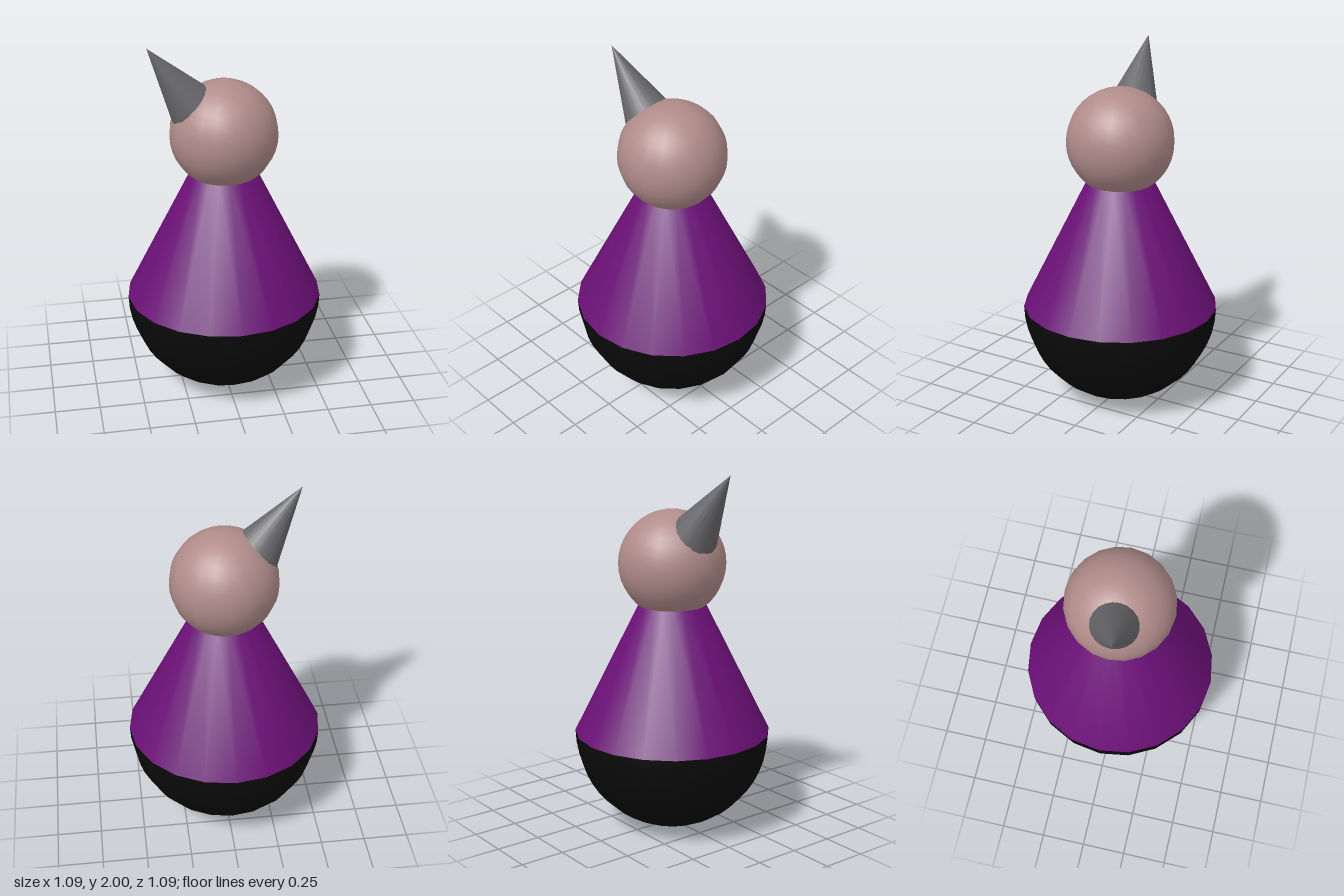
import * as THREE from 'three';

const SIDES = 20;

function addPart(group, name, geometry, color) {
  const mesh = new THREE.Mesh(geometry, new THREE.MeshStandardMaterial({ color }));
  mesh.name = name;
  group.add(mesh);
  return mesh;
}

export function createModel() {
  const group = new THREE.Group();
  group.name = 'figure';

  // Rounded black base: lower half of a sphere
  const base = addPart(group, 'base',
    new THREE.SphereGeometry(0.545, SIDES, 12, 0, Math.PI * 2, Math.PI / 2, Math.PI / 2), 0x0a0a0a);
  base.scale.y = 0.55 / 0.545;
  base.position.y = 0.55;

  // Tapered robe, its top closed beneath the head
  const robe = [[0.545, 0.55], [0.187, 1.265], [0, 1.265]].map(([r, y]) => new THREE.Vector2(r, y));
  addPart(group, 'robe', new THREE.LatheGeometry(robe, SIDES), 0x6a1076);

  // Head
  const headCentre = new THREE.Vector3(0, 1.495, 0);
  const head = addPart(group, 'head', new THREE.SphereGeometry(0.295, SIDES, SIDES), 0xb08c8a);
  head.position.copy(headCentre);

  // Pointed hat, tilted to the model's right and sunk into the head
  const tip = new THREE.Vector3(-0.412, 2, 0.055);
  const axis = new THREE.Vector3(-0.581, 0.814, 0.1).normalize();
  const length = 0.47;
  const hat = addPart(group, 'hat', new THREE.ConeGeometry(0.152, length, SIDES), 0x68686c);
  hat.position.copy(tip).addScaledVector(axis, -length / 2);
  hat.quaternion.setFromUnitVectors(new THREE.Vector3(0, 1, 0), axis);

  return group;
}
